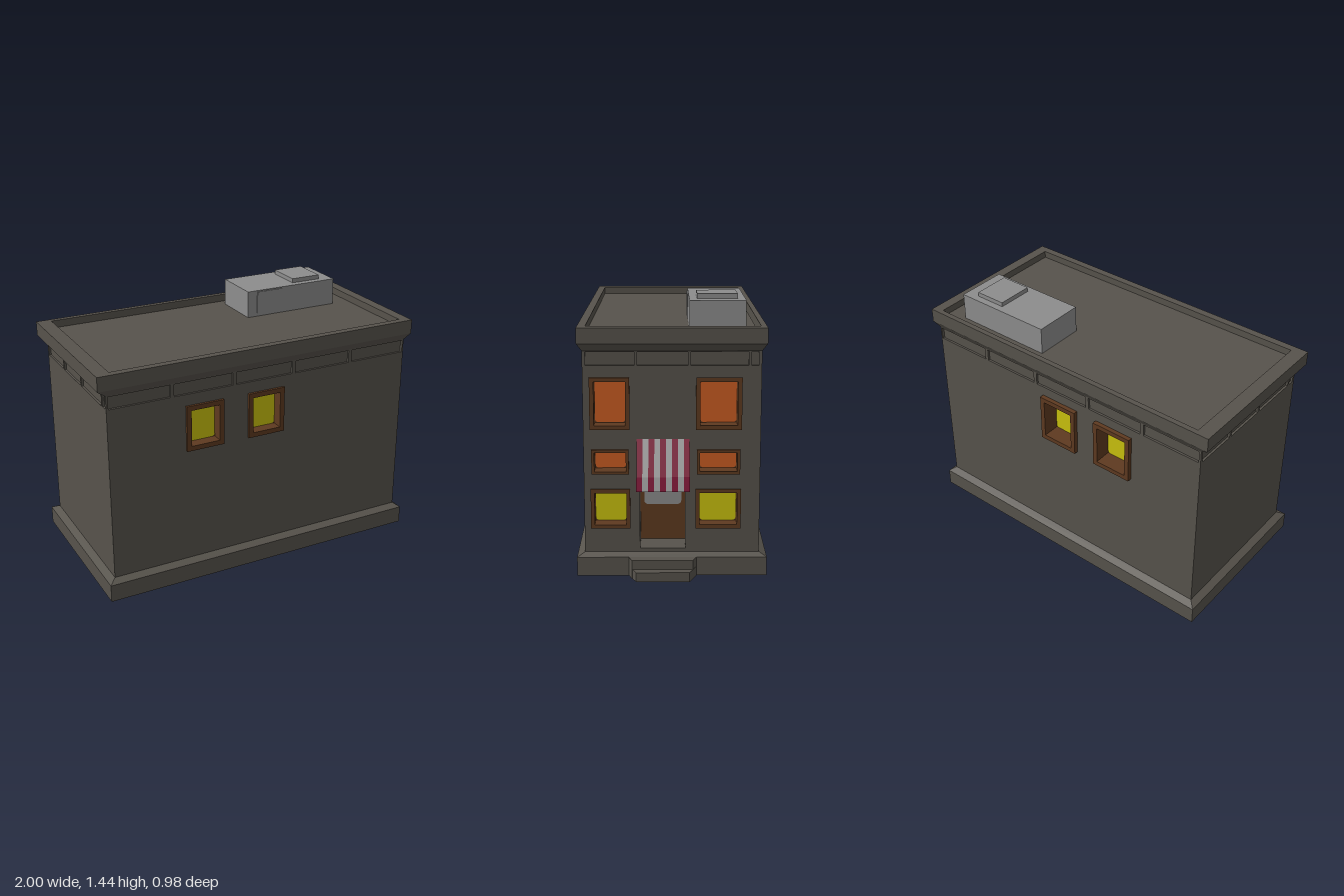
import * as THREE from 'three';

const mat = (name, color) => {
  const m = new THREE.MeshStandardMaterial({ color });
  m.name = name;
  return m;
};

export function createModel() {
  const stone = mat('dark stone', 0x57534c);
  const wood = mat('brown wood', 0x5e3a20);
  const yellow = mat('yellow glass', 0xcac20e);
  const orange = mat('orange glass', 0xcb5c22);
  const metal = mat('grey metal', 0x8d8d8d);
  const red = mat('red canvas', 0x7a0f33);
  const white = mat('pale canvas', 0x9c9c9c);

  const model = new THREE.Group();
  model.name = 'building';

  const add = (parent, name, geometry, material, x = 0, y = 0, z = 0) => {
    const mesh = new THREE.Mesh(geometry, material);
    mesh.name = name;
    mesh.position.set(x, y, z);
    parent.add(mesh);
    return mesh;
  };

  // box given by its limits
  const block = (parent, name, material, x0, x1, y0, y1, z0, z1) =>
    add(parent, name, new THREE.BoxGeometry(x1 - x0, y1 - y0, z1 - z0), material,
      (x0 + x1) / 2, (y0 + y1) / 2, (z0 + z1) / 2);

  // four-sided slope between a lower and an upper rectangle [x0, x1, z0, z1]
  const slope = (name, low, high, y0, y1) => {
    const g = new THREE.BoxGeometry(1, 1, 1);
    const p = g.attributes.position;
    for (let i = 0; i < p.count; i++) {
      const r = p.getY(i) > 0 ? high : low;
      p.setXYZ(i, p.getX(i) < 0 ? r[0] : r[1], p.getY(i) > 0 ? y1 : y0, p.getZ(i) < 0 ? r[2] : r[3]);
    }
    g.computeVertexNormals();
    return add(model, name, g, stone);
  };

  const outline = (pts) => new THREE.Shape(pts.map(([x, y]) => new THREE.Vector2(x, y)));
  const rect = (x0, x1, y0, y1) => outline([[x0, y0], [x1, y0], [x1, y1], [x0, y1]]);
  const extrude = (shape, depth) =>
    new THREE.ExtrudeGeometry(shape, { depth, bevelEnabled: false, curveSegments: 4 });

  const roundedRect = (x0, x1, y0, y1, r) => {
    const s = new THREE.Shape();
    s.absarc(x1 - r, y0 + r, r, -Math.PI / 2, 0);
    s.absarc(x1 - r, y1 - r, r, 0, Math.PI / 2);
    s.absarc(x0 + r, y1 - r, r, Math.PI / 2, Math.PI);
    s.absarc(x0 + r, y0 + r, r, Math.PI, Math.PI * 1.5);
    return s;
  };

  // wall in its own plane: outer face at z = 0, outward is +z
  const makeWall = (name, x0, x1, depth, windows, panels, doorway) => {
    const wall = new THREE.Group();
    wall.name = name;
    const shape = rect(x0, x1, 0.1, 1.19);
    for (const [a, b] of panels) shape.holes.push(rect(a, b, 1.105, 1.175));
    if (doorway) shape.holes.push(rect(...doorway));
    for (const w of windows) {
      const [a, b, c, d] = w.box;
      const t = w.trim;
      shape.holes.push(rect(a + t / 2, b - t / 2, c + t / 2, d - t / 2));
      const frame = rect(a, b, c, d);
      frame.holes.push(rect(a + t, b - t, c + t, d - t));
      add(wall, 'windowFrame', extrude(frame, w.proud + w.recess), wood, 0, 0, -w.recess);
      block(wall, 'windowBacking', wood, a, b, c, d, -w.recess - 0.01, -w.recess);
      const e = t + 0.002;
      add(wall, 'windowGlass', extrude(roundedRect(a + e, b - e, c + e, d - e, 0.018), 0.004),
        w.glass, 0, 0, -w.recess);
    }
    add(wall, 'wallFace', extrude(shape, depth), stone, 0, 0, -depth);
    model.add(wall);
    return wall;
  };

  const L = -0.95, R = 0.87, Z = 0.452, skin = 0.015;

  // plinth with sloped top
  block(model, 'plinth', stone, -0.99, 0.90, 0, 0.1, -0.492, 0.492);
  slope('plinthSlope', [-0.99, 0.90, -0.492, 0.492], [L, R, -Z, Z], 0.1, 0.12);

  // long walls, each with two upper windows
  const longPanels = [0, 1, 2, 3, 4].map((i) => [L + 0.012 + i * 0.364, L + 0.355 + i * 0.364]);
  const longWindows = (w, y0, y1, proud, recess, side) => [-0.4, -0.03].map((x) => ({
    box: [side * x - w / 2, side * x + w / 2, y0, y1], trim: 0.027, proud, recess, glass: yellow,
  }));
  makeWall('frontWall', L, R, skin, longWindows(0.22, 0.78, 1.04, 0.014, 0.05, 1), longPanels)
    .position.z = Z;
  const back = makeWall('backWall', -R, -L, skin, longWindows(0.24, 0.77, 1.05, 0.025, 0.075, -1),
    longPanels.map(([a, b]) => [-b, -a]));
  back.rotation.y = Math.PI;
  back.position.z = -Z;

  // entrance wall: three rows of windows around a recessed door
  const rows = [
    [0.775, 1.045, orange, 0, 0.022],
    [0.54, 0.67, orange, 0.006, 0.015],
    [0.25, 0.46, yellow, 0, 0.02],
  ];
  const entranceWindows = rows.flatMap(([y0, y1, glass, inset, trim]) =>
    [[-0.418, -0.215], [0.122, 0.355]].map(([a, b]) => ({
      box: [a + inset, b - inset, y0, y1], trim, proud: 0.01, recess: 0.065, glass,
    })));
  const shortPanels = [[-0.436, -0.19], [-0.175, 0.08], [0.095, 0.385], [0.4, 0.436]];
  const entrance = makeWall('entranceWall', -Z + skin, Z - skin, 0.15, entranceWindows, shortPanels,
    [-0.165, 0.07, 0.14, 0.46]);
  entrance.rotation.y = Math.PI / 2;
  entrance.position.x = R;
  block(entrance, 'door', wood, -0.17, 0.075, 0.135, 0.465, -0.16, -0.14);
  add(entrance, 'doorGlass', extrude(roundedRect(-0.145, 0.05, 0.335, 0.425, 0.02), 0.005), metal, 0, 0, -0.14);

  const rear = makeWall('rearWall', -Z + skin, Z - skin, skin, [], shortPanels);
  rear.rotation.y = -Math.PI / 2;
  rear.position.x = L;

  // roof slab, which also backs the frieze panels
  const inset = 0.012;
  block(model, 'roofSlab', stone, L + inset, R - inset, 1.08, 1.26, -Z + inset, Z - inset);

  // cornice and parapet
  slope('corniceSlope', [L, R, -Z, Z], [-1, 0.90, -0.477, 0.477], 1.18, 1.22);
  const parapet = rect(-1, 0.90, -0.477, 0.477);
  parapet.holes.push(rect(-0.92, 0.84, -0.435, 0.447));
  add(model, 'parapet', extrude(parapet, 0.08), stone, 0, 1.22, 0).rotation.x = -Math.PI / 2;

  // tapered entrance steps
  const step = (x1, z0, z1, top) => {
    const plan = outline([[0.86, -0.24], [x1, -z1], [x1, -z0], [0.86, 0.145]]);
    add(model, 'step', extrude(plan, top), stone).rotation.x = -Math.PI / 2;
  };
  step(0.99, -0.09, 0.185, 0.05);
  step(0.945, -0.107, 0.207, 0.1);

  // striped awning
  const awning = new THREE.Group();
  awning.name = 'awning';
  const side = outline([[R, 0.485], [1, 0.485], [0.978, 0.555], [R, 0.725]]);
  for (let i = 0; i < 9; i++) {
    add(awning, 'awningStripe', extrude(side, 0.03), i % 2 ? white : red, 0, 0, -0.09 + i * 0.03);
  }
  model.add(awning);

  // rooftop ventilation unit
  block(model, 'roofUnit', metal, 0.15, 0.73, 1.26, 1.415, -0.38, -0.09);
  block(model, 'roofUnitLid', metal, 0.47, 0.65, 1.415, 1.44, -0.34, -0.13);
  block(model, 'roofUnitPanel', metal, 0.21, 0.38, 1.28, 1.408, -0.09, -0.084);

  return model;
}
